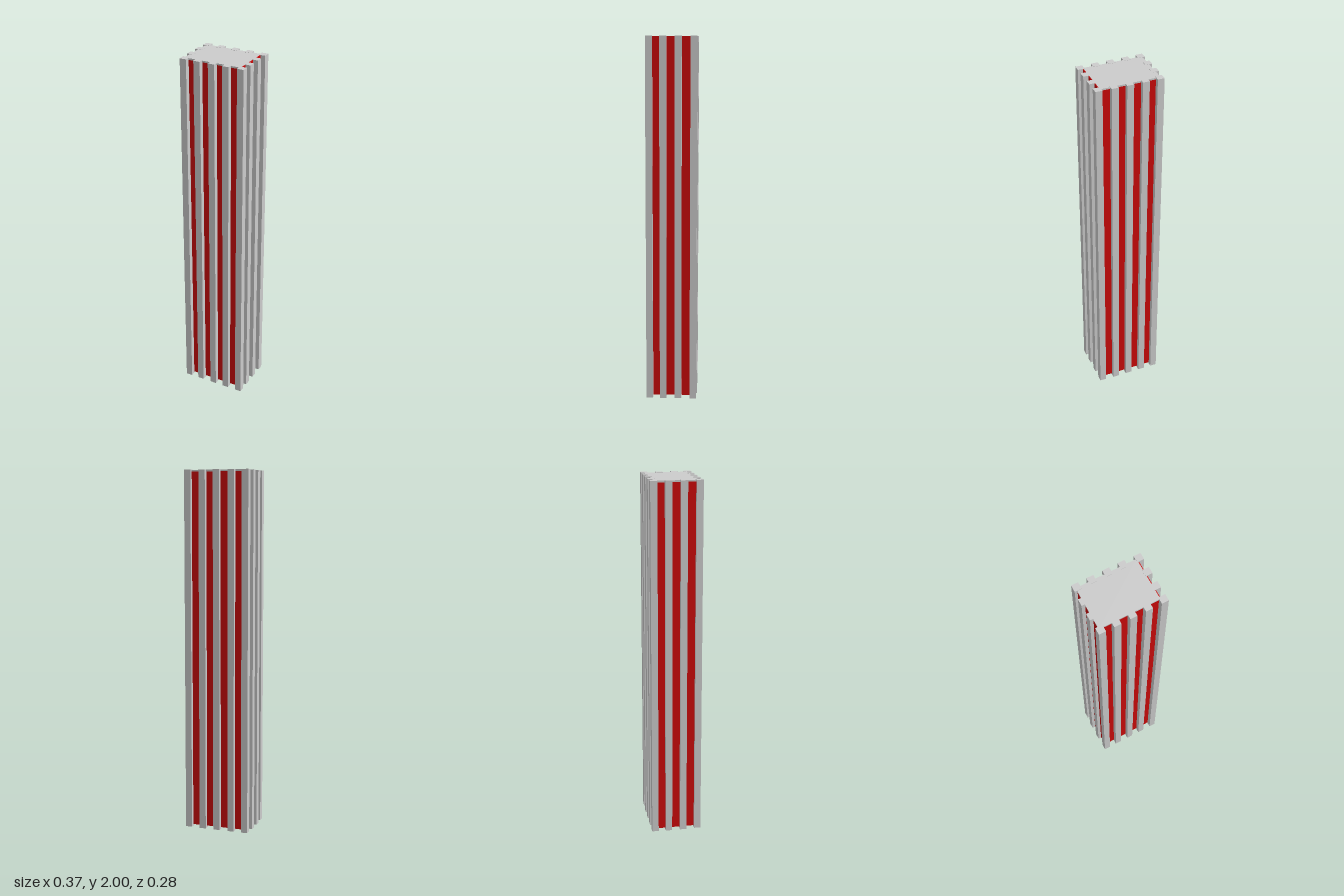
import * as THREE from 'three';

export function createModel() {
  const group = new THREE.Group();
  const grey = new THREE.MeshStandardMaterial({ color: 0xcccccc });
  const red = new THREE.MeshStandardMaterial({ color: 0xcc0a0a });

  // Box given by its lower and upper limits on each axis
  const addBox = (name, material, [x0, x1], [y0, y1], [z0, z1]) => {
    const mesh = new THREE.Mesh(new THREE.BoxGeometry(x1 - x0, y1 - y0, z1 - z0), material);
    mesh.position.set((x0 + x1) / 2, (y0 + y1) / 2, (z0 + z1) / 2);
    mesh.name = name;
    group.add(mesh);
  };

  // Full-height square pillars
  const half = 0.0185;
  const addPillar = (name, x, z) =>
    addBox(name, grey, [x - half, x + half], [0, 2], [z - half, z + half]);
  for (const x of [-0.164, -0.084, 0, 0.082, 0.166]) {
    addPillar('frontPillar', x, 0.121);
    addPillar('backPillar', x, x > 0.15 ? -0.12 : -0.123);
  }
  for (const z of [-0.045, 0.038]) addPillar('rightPillar', -0.168, z);
  for (const z of [-0.037, 0.046]) addPillar('leftPillar', 0.166, z);

  // Thin red wall panels between the pillars
  addBox('frontPanel', red, [-0.164, 0.157], [0.01, 1.99], [0.108, 0.112]);
  addBox('backPanel', red, [-0.164, 0.157], [0.01, 1.99], [-0.118, -0.114]);
  addBox('rightPanel', red, [-0.168, -0.164], [0.01, 1.99], [-0.118, 0.112]);
  addBox('leftPanel', red, [0.153, 0.157], [0.01, 1.998], [-0.118, 0.112]);

  // Roof slab over the panels and floor slab recessed between them
  addBox('roof', grey, [-0.17, 0.153], [1.99, 1.999], [-0.12, 0.114]);
  addBox('floor', grey, [-0.164, 0.153], [0.04, 0.05], [-0.114, 0.108]);
  return group;
}
